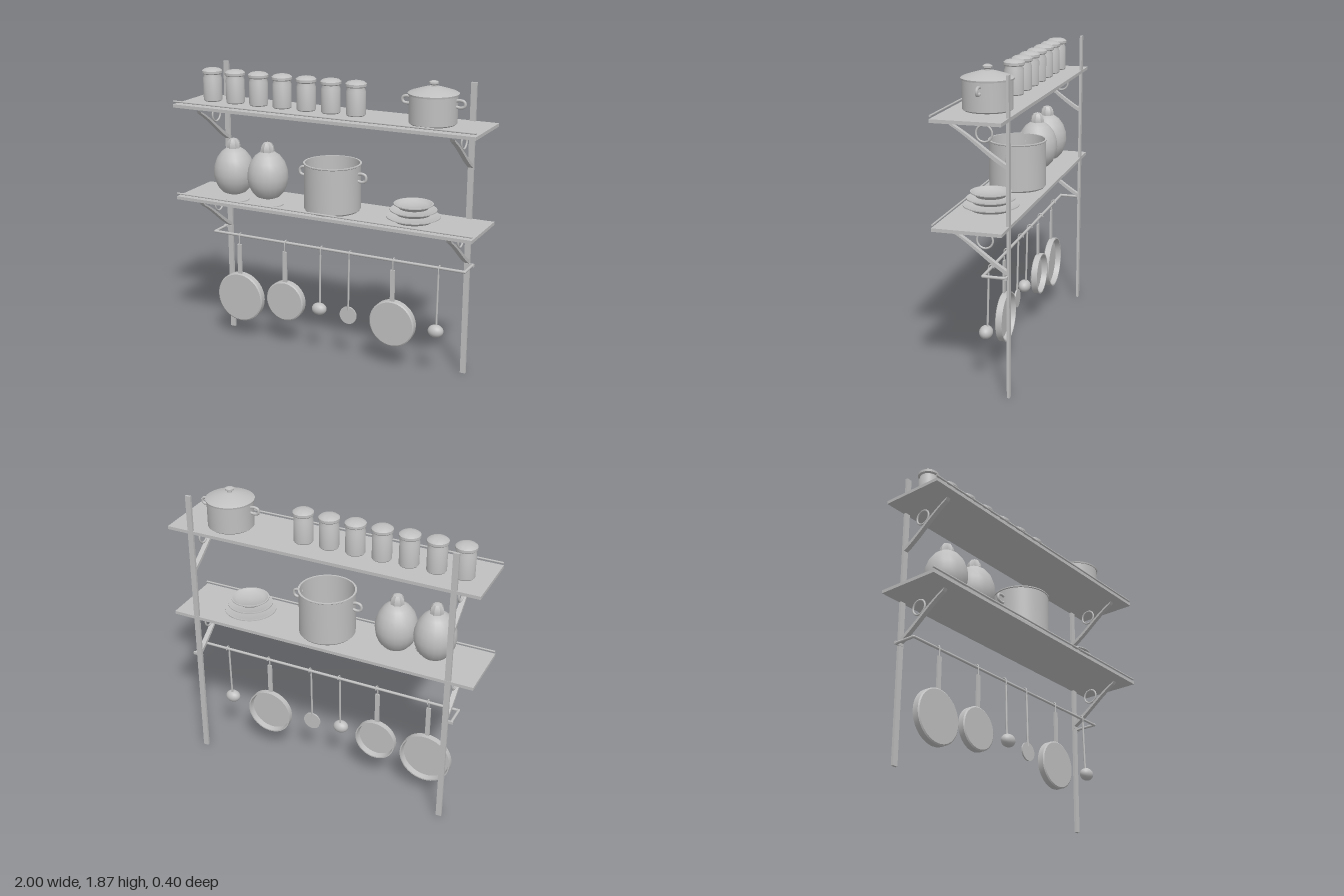
import * as THREE from 'three';
import { toCreasedNormals } from 'three/addons/utils/BufferGeometryUtils.js';

export function createModel() {
  const root = new THREE.Group();
  const steel = new THREE.MeshStandardMaterial({ color: 0xbfbfbf });
  steel.name = 'steel grey';

  const V = (x, y, z) => new THREE.Vector3(x, y, z);
  const add = (parent, name, geometry, x = 0, y = 0, z = 0) => {
    const mesh = new THREE.Mesh(geometry, steel);
    mesh.name = name;
    mesh.position.set(x, y, z);
    parent.add(mesh);
    return mesh;
  };
  const group = (name, x = 0, y = 0, z = 0) => {
    const g = new THREE.Group();
    g.name = name;
    g.position.set(x, y, z);
    root.add(g);
    return g;
  };
  const lathe = (points, segments = 32) => toCreasedNormals(
    new THREE.LatheGeometry(points.map(([r, y]) => new THREE.Vector2(r, y)), segments), 0.6);
  const tube = (points, radius, segments = 20) =>
    new THREE.TubeGeometry(new THREE.CatmullRomCurve3(points), segments, radius, 8);

  // Wall posts
  for (const s of [-1, 1]) {
    add(root, 'post', new THREE.BoxGeometry(0.035, 1.845, 0.016), s * 0.843, 0.9225, -0.191);
  }

  // Curved bracket strut, drawn in the z-y plane
  const strutShape = new THREE.Shape();
  strutShape.moveTo(0.15, -0.018);
  strutShape.bezierCurveTo(0.03, -0.075, -0.06, -0.165, -0.184, -0.238);
  strutShape.lineTo(-0.184, -0.262);
  strutShape.bezierCurveTo(-0.07, -0.2, 0.02, -0.1, 0.138, -0.036);
  strutShape.closePath();
  const strut = new THREE.ExtrudeGeometry(strutShape, { depth: 0.03, bevelEnabled: false, curveSegments: 10 });
  strut.translate(0, 0, -0.015).rotateY(-Math.PI / 2);
  const ring = new THREE.TorusGeometry(0.046, 0.006, 8, 28).rotateY(Math.PI / 2);

  // Two shelves with a front rail and brackets
  for (const y of [0.997, 1.597]) {
    const shelf = group('shelf', 0, y);
    add(shelf, 'board', new THREE.BoxGeometry(2, 0.02, 0.4), 0, 0.01);
    add(shelf, 'frontRail', new THREE.CylinderGeometry(0.006, 0.006, 2, 8).rotateZ(Math.PI / 2), 0, 0.038, 0.193);
    for (const s of [-1, 1]) {
      add(shelf, 'strut', strut, s * 0.843);
      add(shelf, 'bracketRing', ring, s * 0.843, -0.074, -0.055);
    }
  }

  // Storage jars
  const jarBody = lathe([[0, 0], [0.054, 0], [0.059, 0.006], [0.059, 0.148], [0.052, 0.165], [0.052, 0.18], [0, 0.18]]);
  const jarLid = lathe([[0, 0.172], [0.058, 0.172], [0.064, 0.178], [0.064, 0.193], [0.05, 0.204], [0.025, 0.21], [0, 0.211]]);
  for (let i = 0; i < 7; i++) {
    const jar = group('jar', -0.843 + i * 0.168, 1.617, -0.022);
    add(jar, 'jarBody', jarBody);
    add(jar, 'jarLid', jarLid);
  }

  // Looped side handles for both pots
  const potHandles = (pot, wall, y, h) => {
    for (const s of [-1, 1]) {
      add(pot, 'potHandle', tube([
        V(s * (wall - 0.01), y + h * 0.75, 0), V(s * (wall + 0.02), y + h, 0), V(s * (wall + 0.045), y + h * 0.7, 0),
        V(s * (wall + 0.051), y, 0), V(s * (wall + 0.045), y - h * 0.7, 0), V(s * (wall + 0.02), y - h, 0),
        V(s * (wall - 0.01), y - h * 0.75, 0)], 0.009, 28));
    }
  };

  // Saucepan with lid
  const saucepan = group('saucepan', 0.66, 1.617, -0.018);
  add(saucepan, 'panBody', lathe([[0, 0], [0.132, 0], [0.142, 0.008], [0.142, 0.175], [0, 0.175]], 40));
  add(saucepan, 'panLid', lathe([[0, 0.17], [0.148, 0.17], [0.15, 0.18], [0.136, 0.188], [0.09, 0.203], [0.04, 0.217], [0, 0.22]], 40));
  add(saucepan, 'lidKnob', lathe([[0, 0.21], [0.016, 0.21], [0.015, 0.226], [0.028, 0.234], [0.028, 0.244], [0.015, 0.251], [0, 0.252]], 20));
  potHandles(saucepan, 0.143, 0.128, 0.021);

  // Open stockpot
  const stockpot = group('stockpot', 0.02, 1.017, 0);
  add(stockpot, 'potBody', lathe([[0, 0], [0.166, 0], [0.175, 0.01], [0.175, 0.288], [0.18, 0.292],
    [0.18, 0.298], [0.168, 0.298], [0.168, 0.012], [0, 0.012]], 48));
  potHandles(stockpot, 0.176, 0.222, 0.026);

  // Stack of plates
  const plates = group('plates', 0.56, 1.017, 0);
  [[0.163, 0.003], [0.142, 0.043], [0.12, 0.08]].forEach(([r, y]) => {
    add(plates, 'plate', lathe([[0, 0], [r * 0.72, 0], [r * 0.78, 0.008], [r, 0.024], [r, 0.03],
      [r - 0.008, 0.03], [r * 0.74, 0.014], [0, 0.012]], 36), 0, y);
  });

  // Egg-shaped bottles with ribbed stoppers, each beside a flat coaster
  const bottleBody = new THREE.LatheGeometry([[0, 0.012], [0.045, 0.014], [0.075, 0.026], [0.105, 0.06], [0.124, 0.105],
    [0.131, 0.15], [0.126, 0.2], [0.108, 0.25], [0.078, 0.29], [0.045, 0.313], [0, 0.32]]
    .map(([r, y]) => new THREE.Vector2(r, y)), 20);
  const stopper = new THREE.LatheGeometry([[0, 0.3], [0.044, 0.305], [0.045, 0.325], [0.039, 0.352], [0.026, 0.37], [0, 0.378]]
    .map(([r, y]) => new THREE.Vector2(r, y)), 16);
  const p = stopper.attributes.position;
  for (let i = 0; i < p.count; i++) {
    const k = Math.floor(i / 6) % 2 ? 0.86 : 1;
    p.setXYZ(i, p.getX(i) * k, p.getY(i), p.getZ(i) * k);
  }
  const ribbedStopper = toCreasedNormals(stopper, 0.5);
  for (const x of [-0.685, -0.437]) {
    const bottle = group('bottle', x, 1.017, 0);
    add(bottle, 'bottleBody', bottleBody);
    add(bottle, 'stopper', ribbedStopper);
    add(bottle, 'coaster', new THREE.CylinderGeometry(0.075, 0.075, 0.006, 28), 0.07, 0.003, 0.08);
  }

  // Hanging rail bent back to the wall at both ends
  const rail = group('hangingRail', 0, 0.725, 0);
  add(rail, 'bar', new THREE.CylinderGeometry(0.009, 0.009, 1.76, 10).rotateZ(Math.PI / 2), 0, 0, -0.052);
  for (const s of [-1, 1]) {
    add(rail, 'sideArm', new THREE.CylinderGeometry(0.009, 0.009, 0.14, 10).rotateX(Math.PI / 2), s * 0.878, 0, -0.122);
    add(rail, 'railCorner', new THREE.SphereGeometry(0.0095, 10, 8), s * 0.878, 0, -0.052);
    add(rail, 'wallFoot', new THREE.BoxGeometry(0.065, 0.018, 0.012), s * 0.858, 0, -0.187);
  }
  const hook = tube([V(0, 0.72, -0.066), V(0, 0.737, -0.06), V(0, 0.741, -0.05), V(0, 0.733, -0.037),
    V(0, 0.715, -0.033), V(0, 0.69, -0.034), V(0, 0.66, -0.034)], 0.004);

  // Frying pans hung with their bases to the front
  [[-0.682, 0.298, 0.167], [-0.342, 0.328, 0.134], [0.418, 0.313, 0.151]].forEach(([x, y, r]) => {
    const pan = group('fryingPan', x);
    add(pan, 'panDish', lathe([[0, 0], [r - 0.008, 0], [r, 0.006], [r, 0.044], [r - 0.008, 0.044],
      [r - 0.014, 0.008], [0, 0.008]], 44).rotateX(-Math.PI / 2), 0, y, -0.02);
    const length = 0.668 - (y + r - 0.008);
    add(pan, 'panHandle', new THREE.BoxGeometry(0.028, length, 0.012), 0, 0.668 - length / 2, -0.034);
    add(pan, 'hook', hook);
  });

  // Ladles and a round skimmer
  [[-0.083, true], [0.119, false], [0.718, true]].forEach(([x, isLadle]) => {
    const tool = group(isLadle ? 'ladle' : 'skimmer', x);
    add(tool, 'hook', hook);
    add(tool, 'toolHandle', tube([V(0, 0.69, -0.034), V(0, 0.52, -0.03), V(0, 0.35, -0.025)], 0.0065));
    if (isLadle) {
      add(tool, 'ladleBowl', new THREE.SphereGeometry(1, 24, 16).scale(0.05, 0.04, 0.04), 0, 0.327, -0.016);
    } else {
      add(tool, 'skimmerDisc', new THREE.CylinderGeometry(0.058, 0.058, 0.01, 32).rotateX(Math.PI / 2), 0, 0.316, -0.026);
    }
  });

  return root;
}
